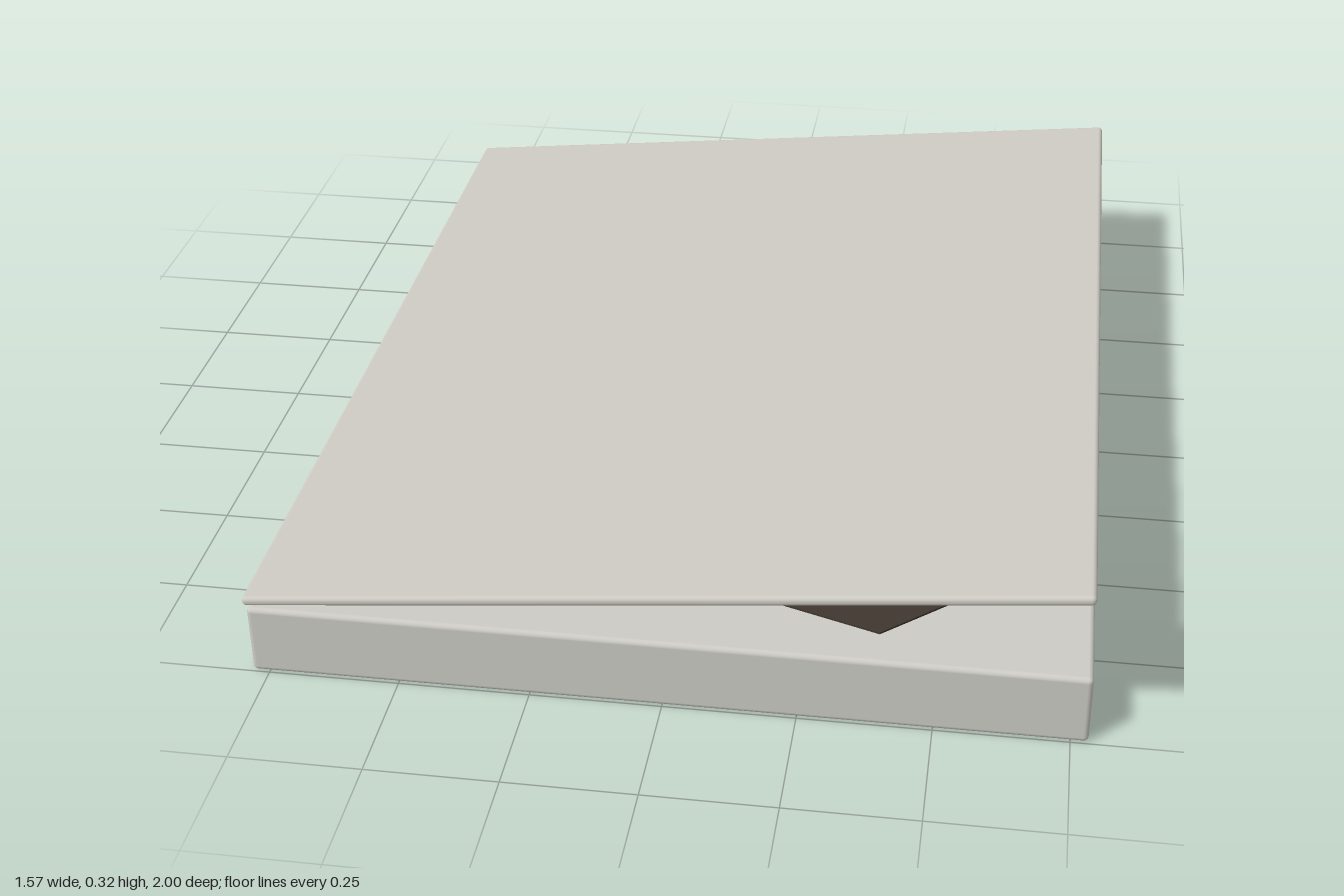
import * as THREE from 'three';
import { RoundedBoxGeometry } from 'three/addons/geometries/RoundedBoxGeometry.js';

function makeMaterial(name, color) {
  const material = new THREE.MeshStandardMaterial({ color });
  material.name = name;
  return material;
}

function addMesh(group, name, geometry, material, x, y, z) {
  const mesh = new THREE.Mesh(geometry, material);
  mesh.name = name;
  mesh.position.set(x, y, z);
  group.add(mesh);
  return mesh;
}

export function createModel() {
  const model = new THREE.Group();
  model.name = 'openCase';
  const baseGrey = makeMaterial('base warm grey', 0xcccbc4);
  const lidGrey = makeMaterial('lid warm grey', 0xcdc9c2);
  const darkBrown = makeMaterial('dark brown', 0x40372f);

  // Shallow body with softened edges
  addMesh(model, 'base', new RoundedBoxGeometry(1.566, 0.142, 1.996, 3, 0.01), baseGrey, 0, 0.071, 0);

  // Thin lid, propped open along the left-hand side of the front
  const lid = addMesh(model, 'lid', new RoundedBoxGeometry(1.572, 0.02, 2, 3, 0.009), lidGrey, -0.007, 0.235, 0);
  lid.rotation.z = 0.0995;

  // Flat six-sided sheet lying between base and lid: half the outline, then its mirror through the centre
  const half = [[0.08, 0.59], [0.375, 0.325], [0.445, -0.41]];
  const outline = [...half, ...half.map(([x, z]) => [-x, -z])];
  const shape = new THREE.Shape(outline.map(([x, z]) => new THREE.Vector2(x, -z)));
  const sheet = new THREE.ExtrudeGeometry(shape, { depth: 0.004, bevelEnabled: false });
  sheet.rotateX(-Math.PI / 2);
  addMesh(model, 'sheet', sheet, darkBrown, 0.315, 0.169, 0.36);

  return model;
}
